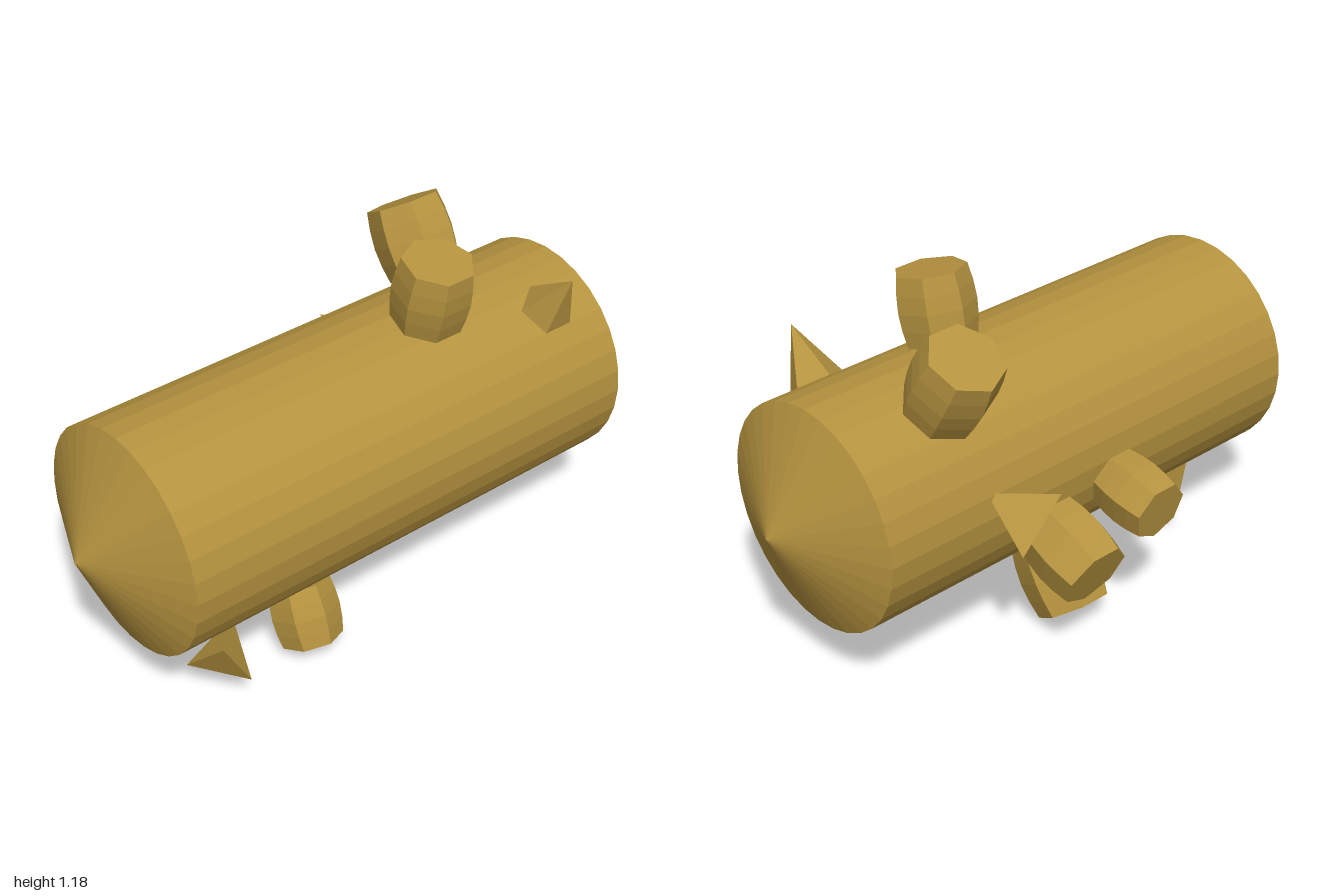
import * as THREE from 'three';

const AXIS_Y = 0.58, AXIS_Z = 0.11, R = 0.367;
const HALF = 0.835, TIP = 0.165, SIDES = 32;

export function createModel() {
  const model = new THREE.Group();
  const material = new THREE.MeshStandardMaterial({ color: 0xb5933f, flatShading: true });

  const add = (name, geometry, parent = model) => {
    const mesh = new THREE.Mesh(geometry, material);
    mesh.name = name;
    parent.add(mesh);
    return mesh;
  };

  // Main hull lying along x, with a shallow cone on each end
  const hull = new THREE.Group();
  hull.name = 'hull';
  hull.position.set(0, AXIS_Y, AXIS_Z);
  hull.rotation.z = -Math.PI / 2;
  model.add(hull);
  add('hullTube', new THREE.CylinderGeometry(R, R, HALF * 2, SIDES, 1, true), hull);
  for (const side of [1, -1]) {
    const cone = add(side > 0 ? 'leftEndCone' : 'rightEndCone',
      new THREE.ConeGeometry(R, TIP, SIDES, 1, true), hull);
    cone.position.y = side * (HALF + TIP / 2);
    if (side < 0) cone.rotation.x = Math.PI;
  }

  // Stands a part on the hull; angle runs from straight up towards +z
  const mount = (name, geometry, x, degrees) => {
    const mesh = add(name, geometry);
    mesh.position.set(x, AXIS_Y, AXIS_Z);
    mesh.rotation.x = THREE.MathUtils.degToRad(degrees);
  };

  // Seven-sided bulging pods: x, angle, end radius, middle radius, length
  const pods = [
    [0.257, 11.4, 0.114, 0.127, 0.225],
    [0.49, -30.6, 0.122, 0.136, 0.239],
    [0.075, -147.1, 0.122, 0.136, 0.239],
    [-0.305, 158.3, 0.1, 0.112, 0.2],
    [0.2, -113.3, 0.116, 0.13, 0.226],
    [-0.065, -102, 0.1, 0.112, 0.2],
  ];
  for (const [x, angle, endR, midR, length] of pods) {
    const profile = [new THREE.Vector2(0, 0)];
    for (let i = 0; i <= 4; i++) {
      const t = i / 4;
      profile.push(new THREE.Vector2(endR + (midR - endR) * Math.sin(Math.PI * t), length * t));
    }
    profile.push(new THREE.Vector2(0, length));
    const pod = new THREE.LatheGeometry(profile, 7).rotateY(Math.PI).translate(0, R, 0);
    mount('pod', pod, x, angle);
  }

  // Five-sided spikes
  for (const [x, angle] of [[0.64, 34], [-0.525, -158.3]]) {
    mount('spike', new THREE.ConeGeometry(0.088, 0.183, 5).rotateY(Math.PI).translate(0, R + 0.0915, 0), x, angle);
  }

  // Half-sunk faceted knobs
  for (const [x, angle] of [[-0.2, -119], [-0.43, 178]]) {
    mount('knob', new THREE.SphereGeometry(0.083, 7, 5).translate(0, R + 0.01, 0), x, angle);
  }

  // Four-faced crystals
  const backCrystal = add('backCrystal', new THREE.TetrahedronGeometry(0.133));
  backCrystal.position.set(0.375, 0.58, -0.308);
  const frontCrystal = add('frontCrystal', new THREE.TetrahedronGeometry(0.122));
  frontCrystal.position.set(-0.655, 0.2, 0.335);
  frontCrystal.rotation.z = Math.PI / 2 - 0.27;

  return model;
}
